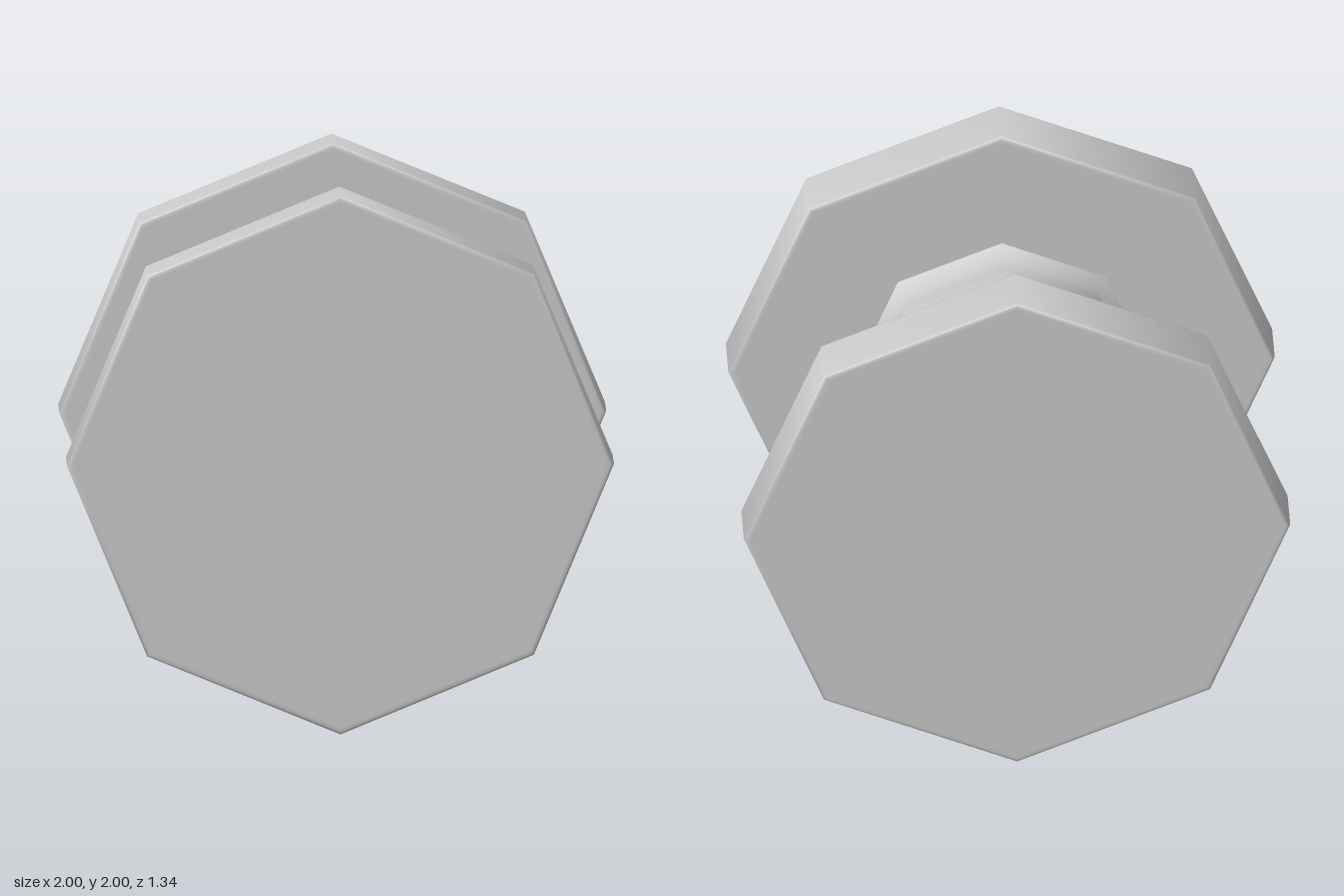
import * as THREE from 'three';

const SIDES = 8;
const INNER = 0.453, OUTER = 0.668; // z extent of each end plate
const material = new THREE.MeshStandardMaterial({ color: 0xcccccc });

// Eight-sided turned part whose axis runs along z
function turned(name, profile) {
  const points = profile.map(([r, z]) => new THREE.Vector2(r, z));
  const geometry = new THREE.LatheGeometry(points, SIDES);
  geometry.rotateX(Math.PI / 2);
  const mesh = new THREE.Mesh(geometry, material);
  mesh.name = name;
  mesh.position.y = 1;
  return mesh;
}

// Octagonal plate with a small rounded rim
function plate(name, z0, z1) {
  const b = 0.012;
  return turned(name, [
    [0, z0], [1 - 2 * b, z0], [1 - b, z0], [1 - b * 0.3, z0 + b * 0.3], [1, z0 + b],
    [1, z1 - b], [1 - b * 0.3, z1 - b * 0.3], [1 - b, z1], [1 - 2 * b, z1], [0, z1],
  ]);
}

export function createModel() {
  const group = new THREE.Group();
  group.name = 'dumbbell';

  group.add(plate('frontPlate', INNER, OUTER));
  group.add(plate('backPlate', -OUTER, -INNER));

  // Grip: thick middle, narrow necks and a flare against each plate
  const half = [[0.53, 0.24], [0.5, 0.34], [0.5, 0.41], [0.535, 0.445], [0.54, 0.46]];
  const mirrored = half.map(([r, z]) => [r, -z]).reverse();
  group.add(turned('grip', [...mirrored, ...half]));

  return group;
}
